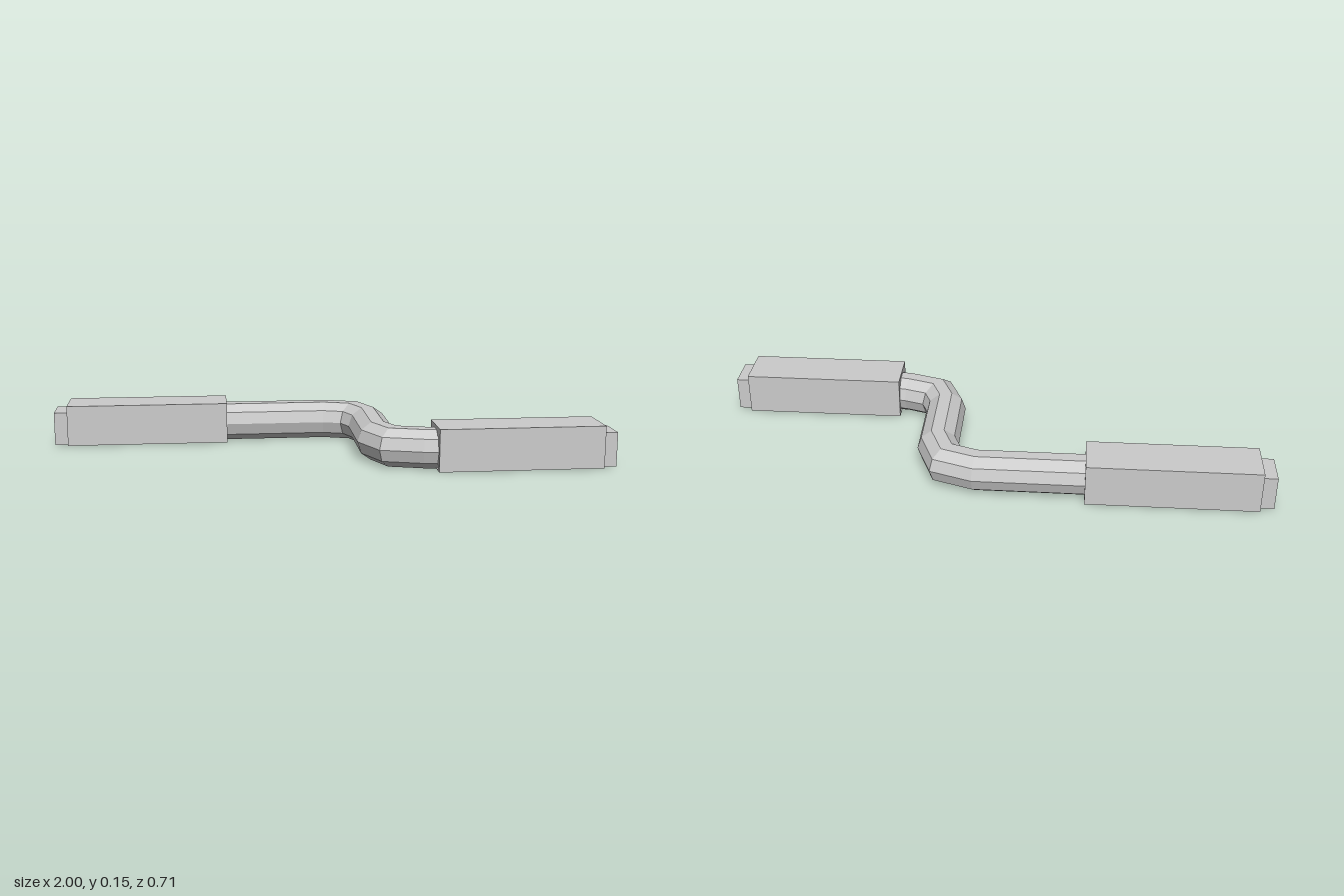
import * as THREE from 'three';

const material = new THREE.MeshStandardMaterial({ color: 0xcccccc, flatShading: true, side: THREE.DoubleSide });

// Rectangle from y0 to y1, centred sideways
function rect(target, w, y0, y1) {
  target.moveTo(-w / 2, y0);
  target.lineTo(w / 2, y0);
  target.lineTo(w / 2, y1);
  target.lineTo(-w / 2, y1);
  target.closePath();
  return target;
}

// Hollow rectangular sleeve running along x from x0 to x1
function sleeve(name, width, y0, y1, x0, x1, z) {
  const shape = rect(new THREE.Shape(), width, y0, y1);
  shape.holes.push(rect(new THREE.Path(), 0.118, 0.006, 0.122));
  const geometry = new THREE.ExtrudeGeometry(shape, { depth: x1 - x0, bevelEnabled: false });
  geometry.rotateY(Math.PI / 2);
  const mesh = new THREE.Mesh(geometry, material);
  mesh.name = name;
  mesh.position.set(x0, 0, z);
  return mesh;
}

// Ten-sided open tube swept with mitred joints along a flat path of [x, z]
function sweep(path, y, r, sides) {
  const pts = path.map(([x, z]) => new THREE.Vector2(x, z));
  const positions = [], indices = [];
  pts.forEach((p, i) => {
    const a = pts[Math.max(i - 1, 0)], b = pts[Math.min(i + 1, pts.length - 1)];
    const before = (i > 0 ? p.clone().sub(a) : b.clone().sub(p)).normalize();
    const after = (i < pts.length - 1 ? b.clone().sub(p) : before.clone()).normalize();
    const dir = before.clone().add(after).normalize();
    const stretch = 1 / dir.dot(before);
    for (let k = 0; k < sides; k++) {
      const t = (k / sides) * Math.PI * 2;
      const s = Math.cos(t) * r * stretch;
      positions.push(p.x - dir.y * s, y + Math.sin(t) * r, p.y + dir.x * s);
      if (i < pts.length - 1) {
        const k2 = (k + 1) % sides, o = i * sides, n = o + sides;
        indices.push(o + k, o + k2, n + k, o + k2, n + k2, n + k);
      }
    }
  });
  const geometry = new THREE.BufferGeometry();
  geometry.setAttribute('position', new THREE.Float32BufferAttribute(positions, 3));
  geometry.setIndex(indices);
  const flat = geometry.toNonIndexed();
  flat.computeVertexNormals();
  return flat;
}

export function createModel() {
  const group = new THREE.Group();

  // S-shaped cable
  const path = [
    [-0.37, -0.272], [0.03, -0.272], [0.138, -0.235], [0.18, -0.13],
    [0.18, 0.135], [0.22, 0.228], [0.33, 0.262], [0.38, 0.268],
  ];
  const cable = new THREE.Mesh(sweep(path, 0.071, 0.073, 10), material);
  cable.name = 'cable';
  group.add(cable);

  // Plug housings with hollow tips at both ends
  for (const [side, x0, x1, tip0, tip1, z] of [
    ['left', 0.365, 0.95, 0.95, 1, 0.27],
    ['right', -0.95, -0.35, -1, -0.95, -0.271],
  ]) {
    const plug = new THREE.Group();
    plug.name = side + 'Plug';
    plug.add(sleeve(side + 'Housing', 0.169, 0.003, 0.154, x0, x1, z));
    plug.add(sleeve(side + 'Tip', 0.126, 0.003, 0.126, tip0, tip1, z));
    group.add(plug);
  }
  return group;
}
